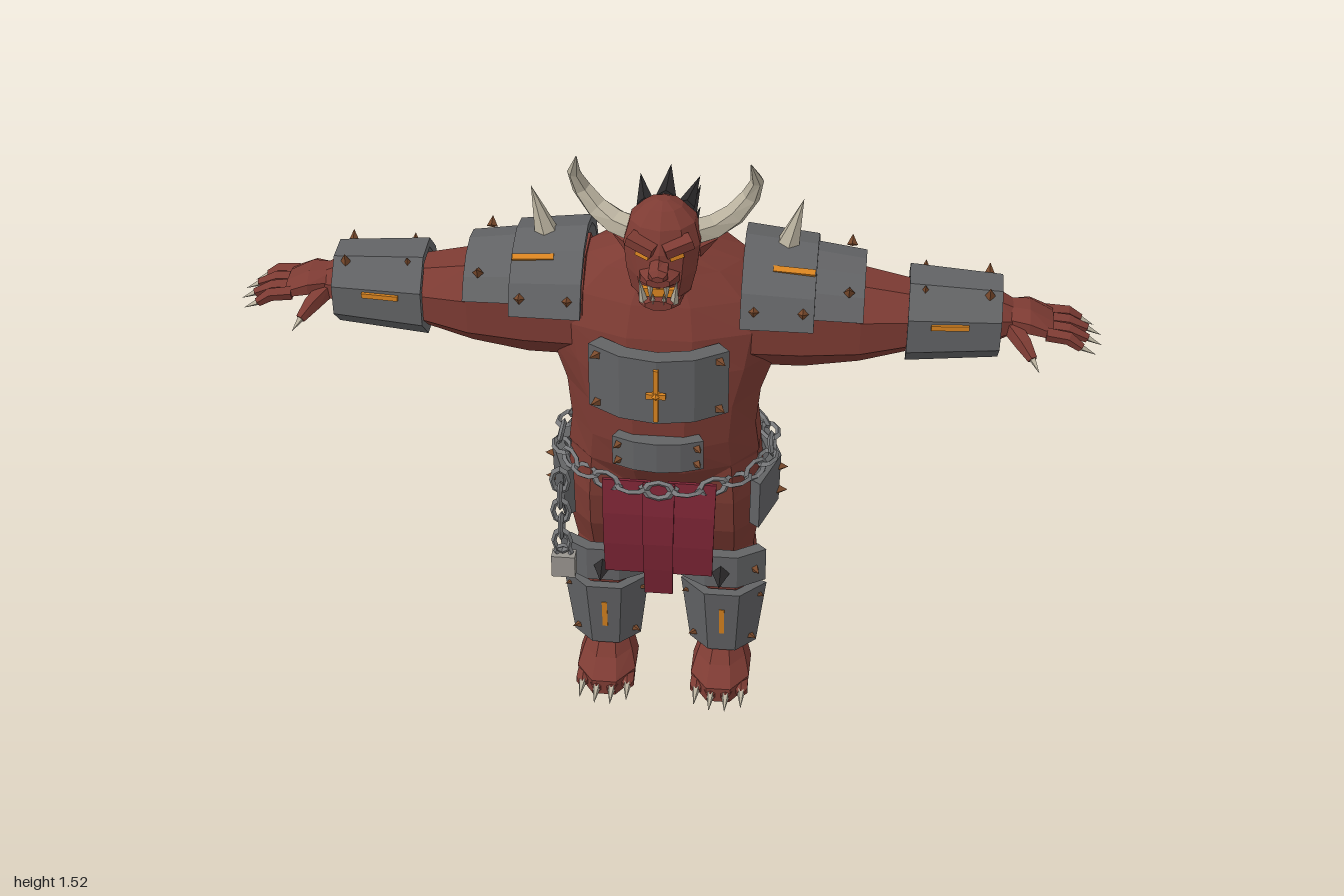
import * as THREE from 'three';

const V = (x, y, z) => new THREE.Vector3(x, y, z);
const mat = (name, color, side = THREE.FrontSide) =>
  Object.assign(new THREE.MeshStandardMaterial({ color, flatShading: true, side }), { name });

// Closed skin through a list of point rings, capped at both ends, always facing out
function skin(rings) {
  const n = rings[0].length, pts = rings.flat(), idx = [];
  const last = rings.length - 1;
  for (let i = 0; i < last; i++) for (let j = 0; j < n; j++) {
    const a = i * n + j, b = i * n + (j + 1) % n;
    idx.push(a, b, b + n, a, b + n, a + n);
  }
  for (let j = 1; j < n - 1; j++) {
    idx.push(0, j + 1, j);
    idx.push(last * n, last * n + j, last * n + j + 1);
  }
  let vol = 0;
  for (let i = 0; i < idx.length; i += 3)
    vol += pts[idx[i]].dot(pts[idx[i + 1]].clone().cross(pts[idx[i + 2]]));
  if (vol < 0) idx.reverse();
  const g = new THREE.BufferGeometry().setFromPoints(pts);
  g.setIndex(idx);
  const flat = g.toNonIndexed();
  flat.computeVertexNormals();
  return flat;
}

// Oval cross-sections [cx, cy, cz, ru, rv] stacked along one axis
function oval(axis, sections, n = 10) {
  return skin(sections.map(([x, y, z, u, v]) => Array.from({ length: n }, (_, j) => {
    const t = (j + 0.5) / n * Math.PI * 2, a = u * Math.cos(t), b = v * Math.sin(t);
    return axis === 'x' ? V(x, y + a, z + b) : axis === 'y' ? V(x + a, y, z + b) : V(x + a, y + b, z);
  })));
}

// Tapering tube along a bent path
function limb(path, radii, n = 6) {
  return skin(path.map((p, i) => {
    const q = V(...p), t = V(...path[Math.min(i + 1, path.length - 1)]).sub(V(...path[Math.max(i - 1, 0)])).normalize();
    const u = V(0, 0, 1).cross(t);
    if (u.length() < 0.3) u.copy(V(1, 0, 0)).cross(t);
    u.normalize();
    const w = t.clone().cross(u);
    return Array.from({ length: n }, (_, j) => {
      const a = j / n * Math.PI * 2;
      return q.clone().addScaledVector(u, radii[i] * Math.cos(a)).addScaledVector(w, radii[i] * Math.sin(a));
    });
  }));
}

// Bent armour plate: ends are [position on axis, centre 1, centre 2, radius]
function arch(axis, e0, e1, a0, a1, n, th) {
  const at = ([p, c, d, r], t, k) => axis === 'x'
    ? V(p, c + (r - k) * Math.cos(t), d + (r - k) * Math.sin(t))
    : V(c + (r - k) * Math.sin(t), p, d + (r - k) * Math.cos(t));
  return skin(Array.from({ length: n + 1 }, (_, i) => {
    const t = a0 + (a1 - a0) * i / n;
    return [at(e0, t, 0), at(e1, t, 0), at(e1, t, th), at(e0, t, th)];
  }));
}

// Pointed cone from base to tip
function spike(base, tip, r, n = 6) {
  const a = V(...base), d = V(...tip).sub(a), len = d.length();
  const g = new THREE.ConeGeometry(r, len, n).translate(0, len / 2, 0);
  g.applyQuaternion(new THREE.Quaternion().setFromUnitVectors(V(0, 1, 0), d.normalize()));
  return g.translate(a.x, a.y, a.z);
}
const box = (x, y, z, w, h, d, rx = 0, ry = 0, rz = 0) =>
  new THREE.BoxGeometry(w, h, d).rotateX(rx).rotateY(ry).rotateZ(rz).translate(x, y, z);

// Same part on the other side of x = 0
function mirrored(geo) {
  const g = geo.index ? geo.toNonIndexed() : geo.clone(), p = g.attributes.position;
  for (let i = 0; i < p.count; i += 3) {
    const [a, b, c] = [0, 1, 2].map(k => V(-p.getX(i + k), p.getY(i + k), p.getZ(i + k)));
    [a, c, b].forEach((v, k) => p.setXYZ(i + k, v.x, v.y, v.z));
  }
  g.computeVertexNormals();
  return g;
}

export function createModel() {
  const model = new THREE.Group();
  const hide = mat('red skin', 0x7d3b33), metal = mat('iron plate', 0x626365), dark = mat('black horn', 0x2c2a2b);
  const cloth = mat('crimson cloth', 0x7a2434, THREE.DoubleSide), bone = mat('bone', 0xb9b19e);
  const glow = mat('orange glow', 0xd98420), rust = mat('rusty stud', 0x7a4a2c);
  const chain = mat('chain steel', 0x77787a), lockMat = mat('padlock steel', 0x99958f);
  const add = (name, geo, m) => {
    const mesh = new THREE.Mesh(geo, m);
    mesh.name = name;
    model.add(mesh);
  };
  const pair = (name, geo, m) => { add(name + 'Left', geo, m); add(name + 'Right', mirrored(geo), m); };
  const stud = (base, dir, r = 0.013) => spike(base, base.map((v, i) => v + dir[i] * 0.026), r, 4);

  // Torso: [y, half width, front z, back z]
  add('torso', oval('y', [
    [0.60, 0.10, 0.09, -0.08], [0.67, 0.21, 0.14, -0.12], [0.74, 0.235, 0.18, -0.145], [0.82, 0.225, 0.20, -0.16],
    [0.92, 0.235, 0.20, -0.167], [1.02, 0.27, 0.19, -0.172], [1.11, 0.29, 0.175, -0.175], [1.18, 0.26, 0.145, -0.17],
    [1.24, 0.18, 0.11, -0.14], [1.28, 0.09, 0.09, -0.08]
  ].map(([y, w, f, b]) => [0, y, (f + b) / 2, w, (f - b) / 2]), 12), hide);

  // Head and face
  add('head', oval('y', [[1.19, 0.04, 0.11, 0.04], [1.22, 0.07, 0.10, 0.07], [1.27, 0.083, 0.09, 0.085], [1.33, 0.09, 0.08, 0.085],
    [1.38, 0.076, 0.075, 0.068], [1.41, 0.045, 0.07, 0.04], [1.423, 0.015, 0.07, 0.015]]
    .map(([y, w, z, d]) => [0, y, z, w, d]), 10), hide);
  add('muzzle', oval('z', [[0, 1.28, 0.12, 0.06, 0.035], [0, 1.275, 0.17, 0.045, 0.025], [0, 1.275, 0.19, 0.028, 0.013]], 8), hide);
  add('nose', oval('z', [[0, 1.305, 0.14, 0.022, 0.028], [0, 1.295, 0.19, 0.025, 0.015], [0, 1.29, 0.2, 0.014, 0.008]], 6), hide);
  add('jaw', oval('z', [[0, 1.215, 0.1, 0.06, 0.022], [0, 1.21, 0.16, 0.05, 0.02], [0, 1.212, 0.185, 0.032, 0.013]], 8), hide);
  add('mouth', box(0, 1.24, 0.145, 0.08, 0.02, 0.06), glow);
  pair('brow', box(0.04, 1.35, 0.15, 0.065, 0.022, 0.035, 0.2, 0.35, 0.3), hide);
  pair('eye', box(0.038, 1.327, 0.157, 0.032, 0.012, 0.009, 0, 0.35, 0.25), glow);
  pair('ear', spike([0.075, 1.29, 0.06], [0.12, 1.3, 0.03], 0.02, 4), hide);
  pair('tusk', spike([0.034, 1.215, 0.168], [0.042, 1.285, 0.188], 0.011, 5), bone);
  pair('upperFang', spike([0.018, 1.262, 0.182], [0.018, 1.225, 0.188], 0.007, 4), bone);
  pair('lowerTooth', spike([0.012, 1.218, 0.18], [0.012, 1.245, 0.185], 0.006, 4), bone);
  pair('horn', limb([[0.06, 1.33, 0.06], [0.11, 1.337, 0.04], [0.155, 1.36, 0.02], [0.19, 1.405, 0.012], [0.204, 1.455, 0.03], [0.192, 1.517, 0.07]],
    [0.032, 0.031, 0.027, 0.022, 0.015, 0.001], 6), bone);

  // Mane and spine
  [[0, 1.385, -0.11, 1.37], [0, 1.33, -0.13, 1.335], [0, 1.28, -0.125, 1.28]].forEach(([x, y, tz, ty]) => {
    add('maneSpike', spike([x, y, 0.01], [x, ty + 0.035, tz], 0.024, 5), dark);
    pair('maneSpike', spike([0.045, y - 0.015, 0.015], [0.068, ty + 0.02, tz + 0.02], 0.021, 5), dark);
  });
  [[1.15, -0.165, 1.205, -0.26], [1.06, -0.165, 1.12, -0.25], [0.97, -0.16, 1.032, -0.243], [0.88, -0.155, 0.945, -0.22]]
    .forEach(([y, z, ty, tz]) => add('spineSpike', spike([0, y, z], [0, ty, tz], 0.026, 6), bone));

  // Chest and belly plates
  const plate = (name, y0, y1, R, half, cz, studs) => {
    add(name, arch('y', [y0, 0, cz, R], [y1, 0, cz, R], -half, half, 4, 0.04), metal);
    for (const y of studs) pair(name + 'Stud',
      stud([R * 0.98 * Math.sin(half * 0.85), y, cz + R * 0.97 * Math.cos(half * 0.85)], [Math.sin(half), 0, Math.cos(half)]), rust);
  };
  plate('chestPlate', 0.93, 1.10, 0.243, 0.72, 0, [0.95, 1.08]);
  plate('bellyPlate', 0.78, 0.86, 0.23, 0.48, 0, [0.798, 0.842]);
  add('chestCrossUpright', box(0, 1.01, 0.246, 0.011, 0.14, 0.009), glow);
  add('chestCrossBar', box(0, 1.01, 0.247, 0.045, 0.013, 0.009), glow);
  add('chestCrossCentre', stud([0, 1.01, 0.243], [0, 0, 0.7], 0.017), glow);

  // Arms and bracers
  pair('arm', oval('x', [[0.18, 1.11, -0.005, 0.145, 0.14], [0.32, 1.105, -0.005, 0.14, 0.13], [0.45, 1.1, 0, 0.11, 0.115],
    [0.56, 1.105, 0, 0.083, 0.093], [0.66, 1.112, 0, 0.08, 0.085], [0.76, 1.115, 0, 0.058, 0.065], [0.80, 1.115, 0, 0.036, 0.048]], 8), hide);
  pair('bracer', arch('x', [0.555, 1.112, 0, 0.113], [0.765, 1.115, 0, 0.096], Math.PI / 8, Math.PI * 2.125, 8, 0.022), metal);
  for (const s of [1, -1]) {
    pair('bracerBar', box(0.65, 1.14, s * 0.1, 0.085, 0.012, 0.009, 0, s * 0.075), glow);
    for (const x of [0.59, 0.735]) pair('bracerStud', stud([x, 1.195, s * 0.045], [0, 1, s * 0.4]), rust);
  }

  // Shoulder armour
  pair('shoulderPlateInner', arch('x', [0.18, 1.11, -0.01, 0.183], [0.345, 1.105, -0.01, 0.17], -1.35, 1.35, 6, 0.02), metal);
  pair('shoulderPlateOuter', arch('x', [0.31, 1.1, -0.01, 0.163], [0.455, 1.095, -0.01, 0.148], -1.15, 1.15, 6, 0.02), metal);
  pair('shoulderSpike', spike([0.275, 1.265, -0.01], [0.308, 1.39, -0.01], 0.03, 6), bone);
  pair('shoulderBar', box(0.295, 1.255, 0.078, 0.095, 0.014, 0.009, -1.0, 0, -0.06), glow);
  for (const s of [1, -1]) for (const [x, r, a] of [[0.21, 0.176, 1.1], [0.32, 0.168, 1.1], [0.42, 0.149, 0.75]])
    pair('shoulderStud', stud([x, 1.105 + r * Math.cos(a), -0.01 + s * r * Math.sin(a)], [0, Math.cos(a), s * Math.sin(a)]), rust);

  // Hands
  pair('palm', oval('x', [[0.77, 1.12, 0, 0.036, 0.045], [0.83, 1.12, 0, 0.034, 0.064], [0.885, 1.103, 0, 0.02, 0.062]], 8), hide);
  [[-0.05, -0.062, 0.95], [-0.017, -0.022, 0.965], [0.017, 0.02, 0.965], [0.05, 0.06, 0.95]].forEach(([z, tz, x]) => {
    pair('finger', limb([[0.87, 1.105, z], [0.92, 1.1, (z + tz) / 2], [x, 1.08, tz]], [0.017, 0.016, 0.011], 5), hide);
    pair('fingerClaw', spike([x - 0.005, 1.082, tz], [x + 0.035, 1.062, tz], 0.009, 4), bone);
  });
  pair('thumb', limb([[0.79, 1.11, 0.03], [0.82, 1.09, 0.075], [0.84, 1.07, 0.105]], [0.024, 0.02, 0.012], 5), hide);
  pair('thumbClaw', spike([0.838, 1.072, 0.102], [0.856, 1.052, 0.132], 0.009, 4), bone);

  // Legs and feet
  pair('leg', oval('y', [[0.125, 0.74, 0, 0.105, 0.14], [0.13, 0.62, 0.008, 0.112, 0.127], [0.135, 0.52, 0.008, 0.102, 0.108],
    [0.14, 0.42, -0.008, 0.084, 0.078], [0.145, 0.33, -0.012, 0.088, 0.09], [0.145, 0.2, -0.007, 0.068, 0.068],
    [0.145, 0.09, 0.005, 0.052, 0.06]], 8), hide);
  pair('foot', oval('y', [[0.145, 0, 0.05, 0.075, 0.108], [0.145, 0.04, 0.047, 0.08, 0.108], [0.145, 0.075, 0.02, 0.066, 0.082],
    [0.145, 0.115, 0.005, 0.05, 0.06]], 8), hide);
  for (const x of [-0.054, -0.018, 0.018, 0.054]) {
    const z = 0.15 - Math.abs(x) * 0.5;
    pair('toe', oval('z', [[0.145 + x, 0.022, z - 0.06, 0.02, 0.022], [0.145 + x * 1.05, 0.02, z, 0.019, 0.018], [0.145 + x * 1.05, 0.018, z + 0.012, 0.01, 0.01]], 6), hide);
    pair('toeClaw', spike([0.145 + x * 1.05, 0.022, z], [0.145 + x * 1.1, 0.008, z + 0.055], 0.012, 5), bone);
  }

  // Knee and shin guards
  pair('kneePlate', arch('y', [0.355, 0.145, -0.02, 0.147], [0.45, 0.145, -0.02, 0.147], -0.82, 0.82, 3, 0.03), metal);
  pair('kneeSpike', spike([0.145, 0.4, 0.105], [0.145, 0.4, 0.18], 0.028, 4), dark);
  pair('shinPlate', arch('y', [0.11, 0.147, -0.01, 0.092], [0.31, 0.147, -0.01, 0.117], -1.15, 1.15, 3, 0.025), metal);
  pair('shinBar', box(0.147, 0.215, 0.085, 0.013, 0.085, 0.009, 0.11), glow);
  for (const s of [1, -1]) {
    for (const y of [0.4]) pair('kneeStud', stud([0.145 + s * 0.08, y, 0.092], [s * 0.5, 0, 0.9]), rust);
    for (const [y, r] of [[0.14, 0.066], [0.28, 0.082]]) pair('shinStud', stud([0.147 + s * r, y, 0.042], [s * 0.8, 0, 0.6], 0.011), rust);
  }

  // Hip plates
  pair('hipPlate', arch('y', [0.55, 0.085, 0.005, 0.19], [0.685, 0.08, 0.005, 0.198], Math.PI / 2 - 0.67, Math.PI / 2 + 0.67, 2, 0.03), metal);
  for (const y of [0.58, 0.65]) pair('hipStud', stud([0.27, y, 0.005], [1, 0, 0], 0.016), rust);

  // Loincloth strips, front and back
  const strip = (name, x0, x1, top, bottom, zs) => add(name, skin(zs.map((z, i) => {
    const f = i / (zs.length - 1), y = top + (bottom - top) * f, m = (x0 + x1) / 2, h = (x1 - x0) / 2 * (1 - 0.1 * f);
    return [V(m - h, y, z - 0.004), V(m + h, y, z - 0.004), V(m + h, y, z + 0.004), V(m - h, y, z + 0.004)];
  })), cloth);
  for (const [name, s, o] of [['frontCloth', 1, 0], ['backCloth', -1, 0.014]]) {
    strip(name + 'Middle', -0.038, 0.038, 0.71, 0.385, [0.183, 0.2, 0.206, 0.2, 0.19].map(z => s * (z - o)));
    strip(name + 'Left', 0.02, 0.135, 0.71, 0.45, [0.172, 0.19, 0.196, 0.192].map(z => s * (z - o)));
    strip(name + 'Right', -0.135, -0.02, 0.71, 0.45, [0.172, 0.19, 0.196, 0.192].map(z => s * (z - o)));
  }

  // Waist chain, hanging chain and padlock
  const link = twist => new THREE.TorusGeometry(0.02, 0.0065, 4, 8).scale(1.6, 1, 1).rotateX(twist);
  const count = 24;
  for (let i = 0; i < count; i++) {
    const t = i / count * Math.PI * 2, x = 0.255 * Math.cos(t), z = 0.19 * Math.sin(t);
    const g = link(i % 2 ? Math.PI / 2 : 0.25).rotateY(Math.atan2(-0.19 * Math.cos(t), -0.255 * Math.sin(t)));
    add('waistChainLink', g.translate(x, 0.712 - z * 0.08, z), chain);
  }
  for (let i = 0; i < 5; i++)
    add('hangingChainLink', link(i % 2 ? Math.PI / 2 : 0).rotateZ(Math.PI / 2).translate(-0.24, 0.675 - i * 0.046, 0.145), chain);
  add('padlockShackle', new THREE.TorusGeometry(0.019, 0.006, 4, 8).translate(-0.237, 0.458, 0.145), chain);
  add('padlock', box(-0.237, 0.42, 0.145, 0.058, 0.062, 0.032), lockMat);

  return model;
}
